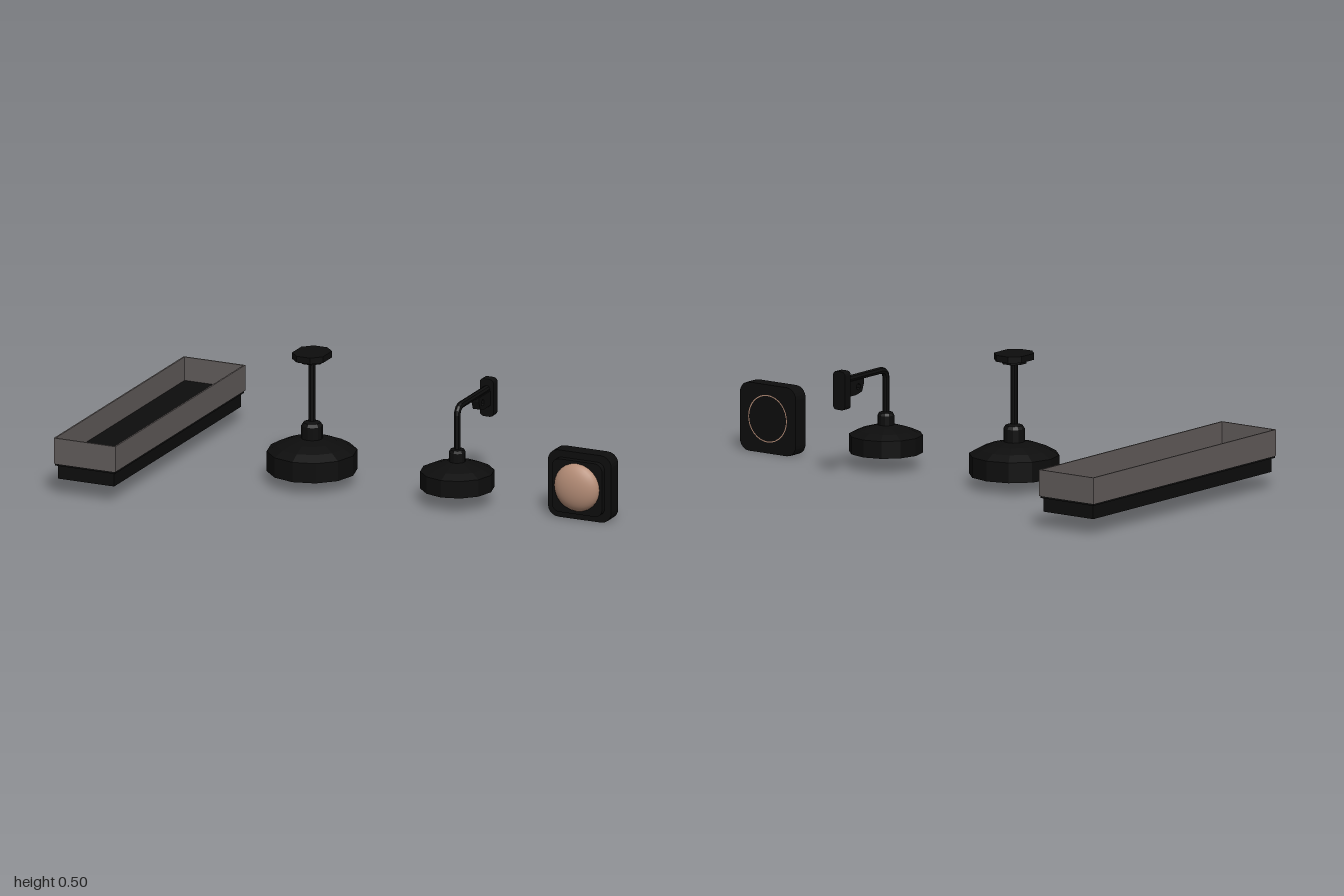
import * as THREE from 'three';

const mat = (name, color, side = THREE.FrontSide) => {
  const m = new THREE.MeshStandardMaterial({ color, side });
  m.name = name;
  return m;
};

// Rectangle with rounded corners (steps = 1 gives chamfers)
function roundedRect(w, h, r, steps = 5) {
  const pts = [];
  [[1, 1], [-1, 1], [-1, -1], [1, -1]].forEach(([sx, sy], q) => {
    for (let i = 0; i <= steps; i++) {
      const a = (q + i / steps) * Math.PI / 2;
      pts.push(new THREE.Vector2(sx * (w / 2 - r) + r * Math.cos(a), sy * (h / 2 - r) + r * Math.sin(a)));
    }
  });
  return new THREE.Shape(pts);
}

// Rectangular frame in plan
function frameShape(w, h, iw, ih) {
  const rect = (C, a, b) => new C([[-a, -b], [a, -b], [a, b], [-a, b]].map(p => new THREE.Vector2(p[0] / 2, p[1] / 2)));
  const s = rect(THREE.Shape, w, h);
  s.holes.push(rect(THREE.Path, iw, ih));
  return s;
}

const extrude = (shape, depth) => new THREE.ExtrudeGeometry(shape, { depth, bevelEnabled: false });
const upright = (shape, y0, y1) => extrude(shape, y1 - y0).rotateX(-Math.PI / 2).translate(0, y0, 0);
const lathe = (pts, n = 12) => new THREE.LatheGeometry(pts.map(p => new THREE.Vector2(...p)), n);

export function createModel() {
  const black = mat('blackMetal', 0x0d0d0d, THREE.DoubleSide);
  black.flatShading = true;
  const grey = mat('greyHousing', 0x625c5b, THREE.DoubleSide);
  const peach = mat('warmGlass', 0xb58d77, THREE.DoubleSide);
  const yellow = mat('tubeGlass', 0xbfa878);

  const model = new THREE.Group();
  model.name = 'lampSet';
  const group = (name, x) => {
    const g = new THREE.Group();
    g.name = name;
    g.position.x = x;
    model.add(g);
    return g;
  };
  const add = (g, name, geo, m, x = 0, y = 0, z = 0) => {
    const mesh = new THREE.Mesh(geo, m);
    mesh.name = name;
    mesh.position.set(x, y, z);
    g.add(mesh);
    return mesh;
  };
  const box = (x, y, z) => new THREE.BoxGeometry(x, y, z);

  // Recessed tube light
  const trough = group('tubeLight', -0.875);
  add(trough, 'collar', upright(frameShape(0.25, 1.11, 0.238, 1.098), 0.122, 0.22), grey);
  add(trough, 'collarFloor', box(0.244, 0.016, 1.104), black, 0, 0.122);
  add(trough, 'lowerFrame', upright(frameShape(0.228, 1.084, 0.17, 0.97), 0.062, 0.115), black);
  for (const s of [-1, 1]) {
    add(trough, 'tubeHolder', box(0.12, 0.058, 0.025), black, 0, 0.086, s * 0.455);
    const tube = add(trough, 'tube', new THREE.CylinderGeometry(0.02, 0.02, 0.89, 10), yellow, s * 0.035, 0.08);
    tube.rotation.x = Math.PI / 2;
  }

  // Ceiling pendant
  const pendant = group('pendantLamp', -0.215);
  add(pendant, 'shade', lathe([
    [0.13, 0.06], [0.14, 0.046], [0.167, 0.046], [0.167, 0.122], [0.13, 0.143], [0.085, 0.16], [0.04, 0.17],
    [0.04, 0.218], [0.032, 0.23], [0.014, 0.236],
  ]), black);
  add(pendant, 'shadeInside', lathe([[0.13, 0.06], [0.13, 0.118], [0.04, 0.15], [0, 0.15]]), black);
  add(pendant, 'rod', new THREE.CylinderGeometry(0.014, 0.014, 0.25, 8), black, 0, 0.35);
  add(pendant, 'ceilingCollar', upright(roundedRect(0.085, 0.09, 0.025, 1), 0.463, 0.477), black);
  add(pendant, 'ceilingPlate', upright(roundedRect(0.125, 0.148, 0.035, 1), 0.476, 0.5), black);
  add(pendant, 'bulb', new THREE.SphereGeometry(0.053, 16, 12), peach, 0, 0.105);

  // Wall lamp on a bent arm
  const wall = group('wallArmLamp', 0.375);
  add(wall, 'shade', lathe([
    [0.108, 0.075], [0.115, 0.058], [0.137, 0.058], [0.137, 0.123], [0.1, 0.14], [0.06, 0.152], [0.031, 0.16],
    [0.031, 0.195], [0.026, 0.205], [0.013, 0.208],
  ]), black);
  add(wall, 'shadeInside', lathe([[0.108, 0.075], [0.108, 0.115], [0.04, 0.145], [0, 0.145]]), black);
  const lens = add(wall, 'lens', new THREE.SphereGeometry(0.1, 20, 12), peach, 0, 0.1);
  lens.scale.y = 0.36;
  const arm = new THREE.CurvePath();
  const v = (y, z) => new THREE.Vector3(0, y, z);
  arm.add(new THREE.LineCurve3(v(0.2, 0), v(0.335, 0)));
  arm.add(new THREE.QuadraticBezierCurve3(v(0.335, 0), v(0.367, 0), v(0.367, -0.04)));
  arm.add(new THREE.LineCurve3(v(0.367, -0.04), v(0.367, -0.255)));
  add(wall, 'arm', new THREE.TubeGeometry(arm, 30, 0.013, 8), black);
  add(wall, 'wallPlate', extrude(roundedRect(0.056, 0.144, 0.015, 3), 0.034), black, 0, 0.332, -0.285);

  // Bracket under the arm, drawn as (distance from the pole, height)
  const bracket = new THREE.Shape([[0.152, 0.36], [0.152, 0.345], [0.165, 0.312], [0.2, 0.304], [0.255, 0.304], [0.255, 0.36]]
    .map(p => new THREE.Vector2(...p)));
  const hole = new THREE.Path();
  for (let i = 0; i < 6; i++) {
    const a = i * Math.PI / 3 + Math.PI / 6, p = [0.187 + 0.013 * Math.cos(a), 0.333 + 0.013 * Math.sin(a)];
    i ? hole.lineTo(...p) : hole.moveTo(...p);
  }
  hole.closePath();
  bracket.holes.push(hole);
  add(wall, 'bracket', extrude(bracket, 0.03).translate(0, 0, -0.015).rotateY(Math.PI / 2), black);

  // Square wall light
  const square = group('squareWallLight', 0.87);
  add(square, 'backPlate', extrude(roundedRect(0.257, 0.257, 0.042), 0.06), black, 0, 0.1285, -0.064);
  add(square, 'frontPlate', extrude(roundedRect(0.204, 0.204, 0.03), 0.024), black, 0, 0.1285, -0.005);
  const dome = add(square, 'dome', new THREE.SphereGeometry(0.092, 24, 10, 0, Math.PI * 2, 0, Math.PI / 2).rotateX(Math.PI / 2),
    peach, 0, 0.13, 0.015);
  dome.scale.z = 0.5;
  const ring = add(square, 'rearRing', new THREE.RingGeometry(0.085, 0.089, 32), peach, 0, 0.13, -0.0655);
  ring.rotation.y = Math.PI;

  return model;
}
